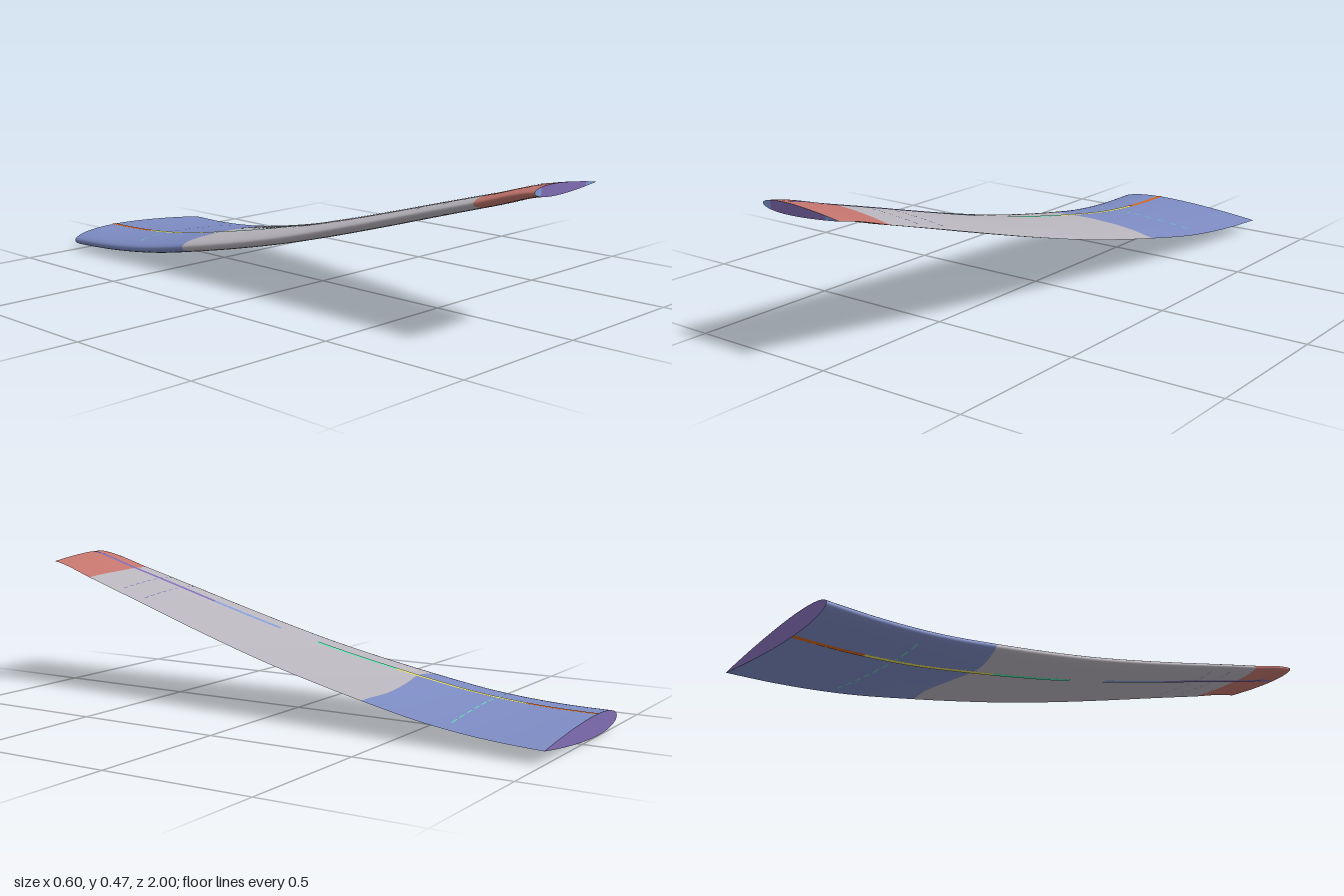
import * as THREE from 'three';

const mat = (name, color) => {
  const m = new THREE.MeshStandardMaterial({ color });
  m.name = name;
  return m;
};

// Interpolating curve through [parameter, value] points
const curve = (pts) => {
  const c = new THREE.SplineCurve(pts.map((p) => new THREE.Vector2(...p)));
  return (u) => {
    const first = pts[0][0], last = pts[pts.length - 1][0];
    return c.getPoint(THREE.MathUtils.clamp((u - first) / (last - first), 0, 1)).y;
  };
};

const SPAR_X = -0.12, SPAR_T = 0.3;
const chord = (z) => 0.595 - 0.1475 * (z + 1);
// Height of the spar line along the span (evenly spaced points)
const rise = curve([[-1, 0.0358], [-0.8, 0.043], [-0.6, 0.063], [-0.4, 0.097], [-0.2, 0.136], [0, 0.18],
  [0.2, 0.231], [0.4, 0.286], [0.6, 0.343], [0.8, 0.399], [1, 0.453]]);

// Symmetric aerofoil half thickness, t running from nose to tail
const half = (t) => 0.575 * (0.2969 * Math.sqrt(t) - 0.126 * t - 0.3516 * t ** 2 + 0.2843 * t ** 3 - 0.1036 * t ** 4);

// Point on the wing: side +1 is the upper skin, -1 the lower
function wingPoint(t, side, z, lift = 0) {
  const c = chord(z), twist = 0.0005 - 0.0055 * z;
  return [SPAR_X + (t - SPAR_T) * c,
    rise(z) + (t - SPAR_T) * twist + side * (half(t) * c + lift), z];
}

// Grid surface from fn(a, b), facing along da x db
function patch(na, nb, fn) {
  const pos = [], idx = [];
  for (let j = 0; j <= nb; j++) for (let i = 0; i <= na; i++) pos.push(...fn(i / na, j / nb));
  for (let j = 0; j < nb; j++) for (let i = 0; i < na; i++) {
    const p = j * (na + 1) + i, q = p + na + 1;
    idx.push(p, p + 1, q, p + 1, q + 1, q);
  }
  const g = new THREE.BufferGeometry();
  g.setAttribute('position', new THREE.Float32BufferAttribute(pos, 3));
  g.setIndex(idx);
  g.computeVertexNormals();
  return g;
}

export function createModel() {
  const group = new THREE.Group();
  const grey = mat('pale grey', 0xbab6be), blue = mat('root blue', 0x7d8cc4), red = mat('tip red', 0xc4766e);
  const orange = mat('orange', 0xd9661c), yellow = mat('yellow', 0xe2dc66), teal = mat('teal', 0x58e4b0);
  const sky = mat('light blue', 0x7f9ad8), purple = mat('purple', 0x7f6cb2);
  const add = (name, geometry, material) => {
    const m = new THREE.Mesh(geometry, material);
    m.name = name;
    group.add(m);
  };

  // Skin panels, with wavy seams between colours
  const rootSeam = curve([[0, -0.41], [0.25, -0.385], [0.5, -0.402], [0.75, -0.405], [1, -0.375]]);
  const tipSeam = curve([[0, 0.8], [0.25, 0.798], [0.5, 0.8], [0.75, 0.81], [1, 0.82]]);
  const skin = (name, material, from, to, rows) => add(name, patch(96, rows, (a, b) => {
    const th = a * Math.PI * 2, t = (1 + Math.cos(th)) / 2;
    return wingPoint(t, a <= 0.5 ? 1 : -1, THREE.MathUtils.lerp(from(t), to(t), b));
  }), material);
  skin('rootPanel', blue, () => -1, rootSeam, 16);
  skin('middlePanel', grey, rootSeam, tipSeam, 32);
  skin('tipPanel', red, tipSeam, () => 1, 8);

  // End caps; dir +1 faces the front, -1 the back
  const cap = (name, material, z, dir, t0, t1) => add(name, patch(32, 1, (a, b) => {
    const s = dir > 0 ? a : 1 - a;
    return wingPoint(t0 + (t1 - t0) * s * s, b < 0.5 ? -1 : 1, z);
  }), material);
  cap('rootCap', purple, -1, -1, 0, 1);
  cap('tipCapNose', sky, 1, 1, 0, 0.1);
  cap('tipCapMiddle', purple, 1, 1, 0.1, 0.82);
  cap('tipCapTail', sky, 1, 1, 0.82, 1);

  // Spar stripe in coloured lengths on both skins
  const spar = [['Orange', orange, -1, -0.77], ['Yellow', yellow, -0.77, -0.31], ['Teal', teal, -0.31, 0],
    ['Blue', sky, 0.15, 0.43], ['Purple', purple, 0.43, 0.985]];
  for (const side of [1, -1]) {
    const where = side > 0 ? 'upper' : 'lower';
    for (const [label, material, z0, z1] of spar) {
      add(`${where}Spar${label}`, patch(4, 16, (a, b) => {
        const z = z0 + (z1 - z0) * b;
        const t = SPAR_T + side * (0.5 - a) * 0.017 / chord(z);
        return wingPoint(t, side, z, 0.0014);
      }), material);
    }
    // Fine dashed rib lines
    for (const [material, z0] of [[teal, -0.67], [purple, 0.58], [purple, 0.68]]) {
      for (let k = 0; k < 9; k++) {
        const t0 = 0.07 + k * 0.095;
        add(`${where}RibDash`, patch(4, 1, (a, b) =>
          wingPoint(t0 + 0.06 * (side > 0 ? 1 - a : a), side, z0 + (b - 0.5) * 0.004, 0.0008)), material);
      }
    }
  }
  return group;
}
